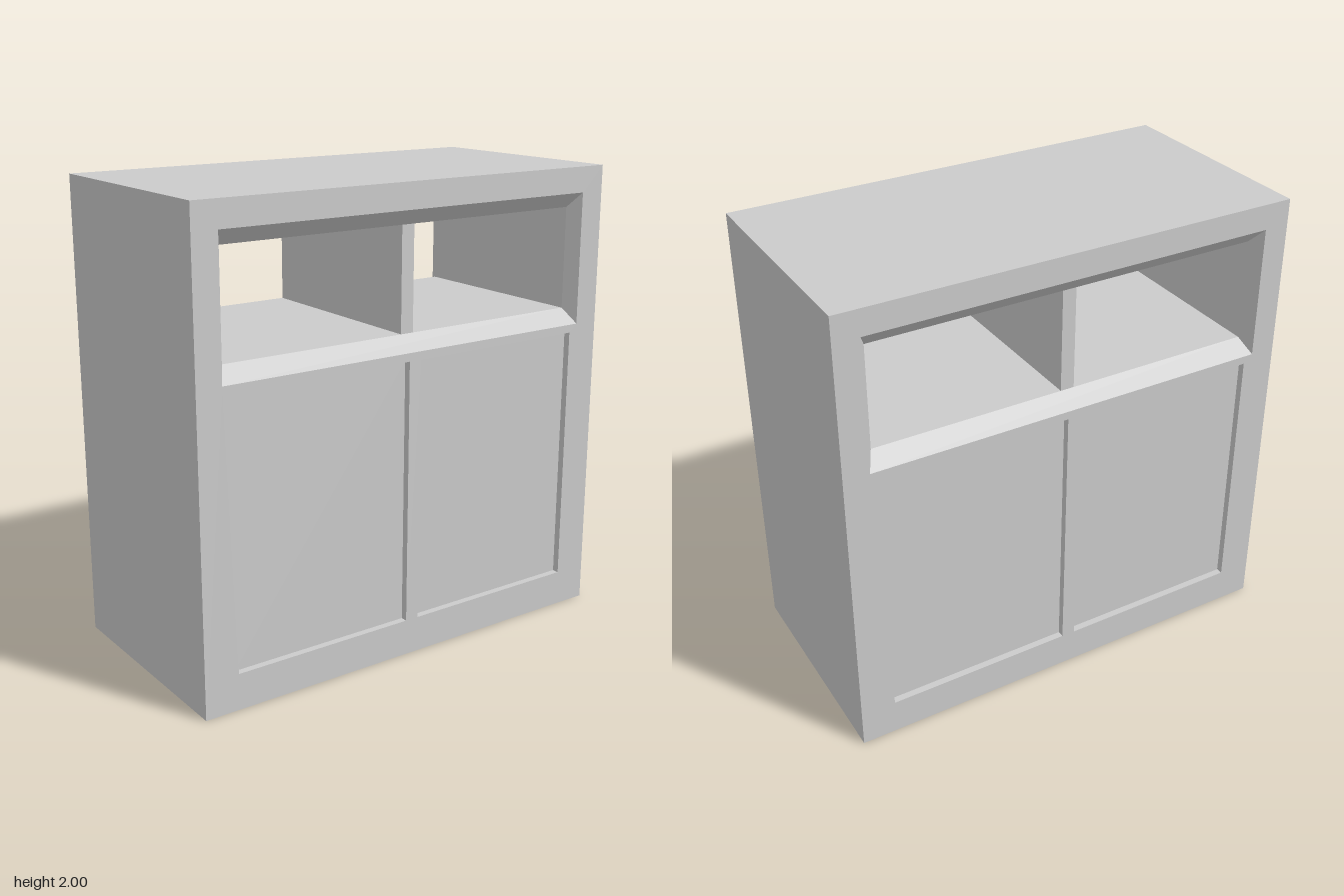
import * as THREE from 'three';

const DEPTH = 0.5;          // half thickness of the cabinet
const BEVEL = 0.06;         // depth of the sloped opening border
const RECESS = 0.03;        // depth of the door panels
const POST = 0.03;          // half width of the central post

// Rectangles as [x0, y0, x1, y1] in the plane of the cabinet face
const OUTER = [-1, 0, 1, 2];
const OPENING = [-0.89, 1.32, 0.89, 1.89];
const INNER = [-0.855, 1.385, 0.855, 1.825];
const BAYS = [[-0.855, 1.385, -POST, 1.825], [POST, 1.385, 0.855, 1.825]];
const DOORS = [[-0.85, 0.155, -POST, 1.285], [POST, 0.155, 0.85, 1.285]];

const material = new THREE.MeshStandardMaterial({ color: 0xcccccc, flatShading: true });

const corners = ([x0, y0, x1, y1]) => [[x0, y0], [x1, y0], [x1, y1], [x0, y1]];
const loop = (r) => corners(r).map(([x, y]) => new THREE.Vector2(x, y));

function add(parent, name, geometry) {
  const mesh = new THREE.Mesh(geometry, material);
  mesh.name = name;
  parent.add(mesh);
  return mesh;
}

// Four walls joining rectangle a at depth za to rectangle b at depth zb;
// they face inward when za > zb and outward when za < zb
function walls(a, za, b, zb) {
  const A = corners(a), B = corners(b), pos = [];
  for (let i = 0; i < 4; i++) {
    const j = (i + 1) % 4;
    const [p, q, r, s] = [[...A[i], za], [...A[j], za], [...B[j], zb], [...B[i], zb]];
    pos.push(...p, ...q, ...r, ...p, ...r, ...s);
  }
  const geometry = new THREE.BufferGeometry();
  geometry.setAttribute('position', new THREE.Float32BufferAttribute(pos, 3));
  geometry.computeVertexNormals();
  return geometry;
}

// Flat rectangle facing +z, optionally with rectangular holes
function plate(rect, z, holes = []) {
  const shape = new THREE.Shape(loop(rect));
  shape.holes = holes.map((h) => new THREE.Path(loop(h)));
  return new THREE.ShapeGeometry(shape).translate(0, 0, z);
}

// One broad face: frame, sloped opening border, two recessed doors
function createFace(name) {
  const face = new THREE.Group();
  face.name = name;
  add(face, 'frame', plate(OUTER, DEPTH, [OPENING, ...DOORS]));
  add(face, 'openingBevel', walls(OPENING, DEPTH, INNER, DEPTH - BEVEL));
  add(face, 'postEdge', plate([-POST, INNER[1], POST, INNER[3]], DEPTH - BEVEL));
  for (const door of DOORS) {
    add(face, 'doorRecess', walls(door, DEPTH, door, DEPTH - RECESS));
    add(face, 'doorPanel', plate(door, DEPTH - RECESS));
  }
  return face;
}

export function createModel() {
  const model = new THREE.Group();
  model.name = 'cabinet';

  // Outer top, bottom and ends
  add(model, 'shell', walls(OUTER, -DEPTH, OUTER, DEPTH));

  // Open bays running right through, divided by the post
  for (const bay of BAYS) {
    add(model, 'openBay', walls(bay, DEPTH - BEVEL, bay, BEVEL - DEPTH));
  }

  // Matching broad faces on both sides
  const leftFace = createFace('leftFace');
  const rightFace = createFace('rightFace');
  rightFace.rotation.y = Math.PI;
  model.add(leftFace, rightFace);

  // Turn so the broad faces look along x
  const root = new THREE.Group();
  root.name = 'cabinetRoot';
  model.rotation.y = Math.PI / 2;
  root.add(model);
  return root;
}
